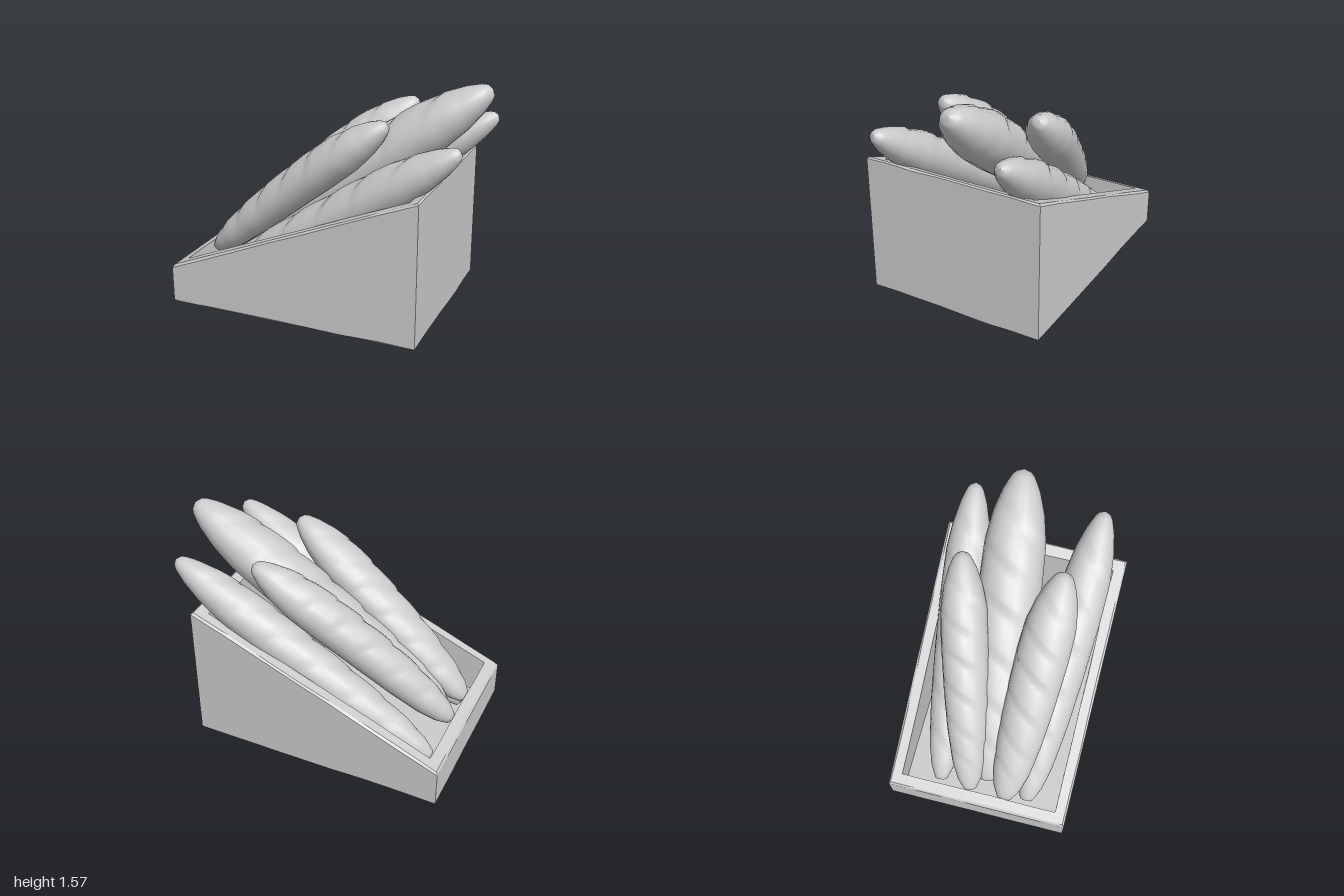
import * as THREE from 'three';

const plain = new THREE.MeshStandardMaterial({ color: 0xcccccc });
plain.name = 'plain grey';

// Small seeded random for the worn edges
function seeded(seed) {
  return () => {
    seed = (seed * 16807) % 2147483647;
    return seed / 2147483647;
  };
}

// Sloping rim height of the crate
const rimY = (x) => 0.29 + ((x + 1) / 1.77) * 0.725;

// Open crate made of rectangular loops: bottom, outside, rim, inside, floor
function crateGeometry() {
  const rand = seeded(11), n = 7;
  const X0 = -1, X1 = 0.77, Z = 0.64;
  const loops = [
    { inset: 0.012, wear: 0.008, y: () => 0.012 },
    { inset: 0, wear: 0, y: () => 0.022 + rand() * 0.012 },
    { inset: 0, wear: 0, y: (x) => rimY(x) - 0.008 - rand() * 0.01 },
    { inset: 0.01, wear: 0.008, y: (x) => rimY(x) },
    { inset: 0.08, wear: 0.005, y: (x) => rimY(x) },
    { inset: 0.083, wear: 0, y: () => 0.06 },
  ];
  const rings = loops.map(({ inset, wear, y }) => {
    const ring = [];
    for (let side = 0; side < 4; side++) {
      for (let k = 0; k < n; k++) {
        const e = inset + wear * rand(), f = k / n;
        const c = [[X0 + e, Z - e], [X1 - e, Z - e], [X1 - e, -Z + e], [X0 + e, -Z + e]];
        const [a, b] = [c[side], c[(side + 1) % 4]];
        const x = a[0] + (b[0] - a[0]) * f, z = a[1] + (b[1] - a[1]) * f;
        ring.push([x, y(x), z]);
      }
    }
    return ring;
  });
  const pos = [], count = 4 * n;
  const tri = (...pts) => pts.forEach((p) => pos.push(...p));
  for (let i = 0; i < count; i++) {
    const j = (i + 1) % count;
    for (let r = 0; r < rings.length - 1; r++) {
      const lo = rings[r], hi = rings[r + 1];
      tri(lo[i], lo[j], hi[j]);
      tri(lo[i], hi[j], hi[i]);
    }
    const floor = rings[rings.length - 1];
    tri([-0.115, 0.012, 0], rings[0][j], rings[0][i]);
    tri([-0.115, 0.06, 0], floor[i], floor[j]);
  }
  const g = new THREE.BufferGeometry();
  g.setAttribute('position', new THREE.Float32BufferAttribute(pos, 3));
  g.computeVertexNormals();
  return g;
}

// Loaf thickness along its length: [position, share of full radius]
const profile = [
  [0, 0], [0.005, 0.28], [0.05, 0.52], [0.13, 0.72], [0.28, 0.88], [0.45, 0.96],
  [0.65, 1], [0.78, 0.96], [0.87, 0.8], [0.94, 0.57], [0.99, 0.3], [1, 0],
];
function thickness(t) {
  const i = Math.max(1, profile.findIndex((p) => p[0] >= t));
  const [t0, r0] = profile[i - 1], [t1, r1] = profile[i];
  return r0 + ((r1 - r0) * (t - t0)) / (t1 - t0);
}

// Long loaf between two points with slanted scores across its upper side
function loafGeometry(from, to, width, height, bow) {
  const a = new THREE.Vector3(...from), b = new THREE.Vector3(...to);
  const dir = b.clone().sub(a).normalize();
  const side = dir.clone().cross(new THREE.Vector3(0, 1, 0)).normalize();
  const up = side.clone().cross(dir);
  const stops = [0, 0.005, 0.025];
  for (let k = 1; k <= 44; k++) stops.push(0.03 + (k / 44) * 0.95);
  stops.push(0.992, 1);
  const segs = 20, pos = [], idx = [];
  stops.forEach((t, i) => {
    const c = a.clone().lerp(b, t).addScaledVector(up, bow * Math.sin(Math.PI * t));
    for (let j = 0; j < segs; j++) {
      const ang = (j / segs) * Math.PI * 2;
      const phase = t * 7 + Math.cos(ang) * 0.5;
      const saw = phase - Math.floor(phase);
      const top = Math.max(0, Math.sin(ang)) * Math.min(1, 6 * t * (1 - t));
      const r = thickness(t) * (1 - 0.13 * top * Math.pow(saw, 3));
      const p = c.clone()
        .addScaledVector(side, Math.cos(ang) * width * r)
        .addScaledVector(up, Math.sin(ang) * height * r);
      pos.push(p.x, p.y, p.z);
      if (i < stops.length - 1) {
        const j2 = (j + 1) % segs, p0 = i * segs, p1 = p0 + segs;
        idx.push(p0 + j, p1 + j, p1 + j2, p0 + j, p1 + j2, p0 + j2);
      }
    }
  });
  const g = new THREE.BufferGeometry();
  g.setAttribute('position', new THREE.Float32BufferAttribute(pos, 3));
  g.setIndex(idx);
  g.computeVertexNormals();
  return g;
}

export function createModel() {
  const group = new THREE.Group();
  group.name = 'breadCrate';
  const add = (name, geometry) => {
    const mesh = new THREE.Mesh(geometry, plain);
    mesh.name = name;
    group.add(mesh);
  };
  add('crate', crateGeometry());

  // name, lower end, upper end, half width, half height, upward bow
  const loaves = [
    ['lowerFrontLoaf', [-0.84, 0.1, 0.33], [0.955, 1.29, 0.42], 0.168, 0.15, 0],
    ['lowerBackLoaf', [-0.84, 0.1, -0.31], [0.955, 1.29, -0.48], 0.16, 0.15, 0],
    ['middleLoaf', [-0.8, 0.28, 0.03], [0.985, 1.55, -0.155], 0.215, 0.185, 0],
    ['upperFrontLoaf', [-0.9, 0.27, 0.18], [0.42, 1.36, 0.265], 0.18, 0.145, 0.02],
    ['upperBackLoaf', [-0.89, 0.27, -0.07], [0.4, 1.36, -0.425], 0.162, 0.15, 0.025],
  ];
  for (const [name, ...shape] of loaves) add(name, loafGeometry(...shape));
  return group;
}
